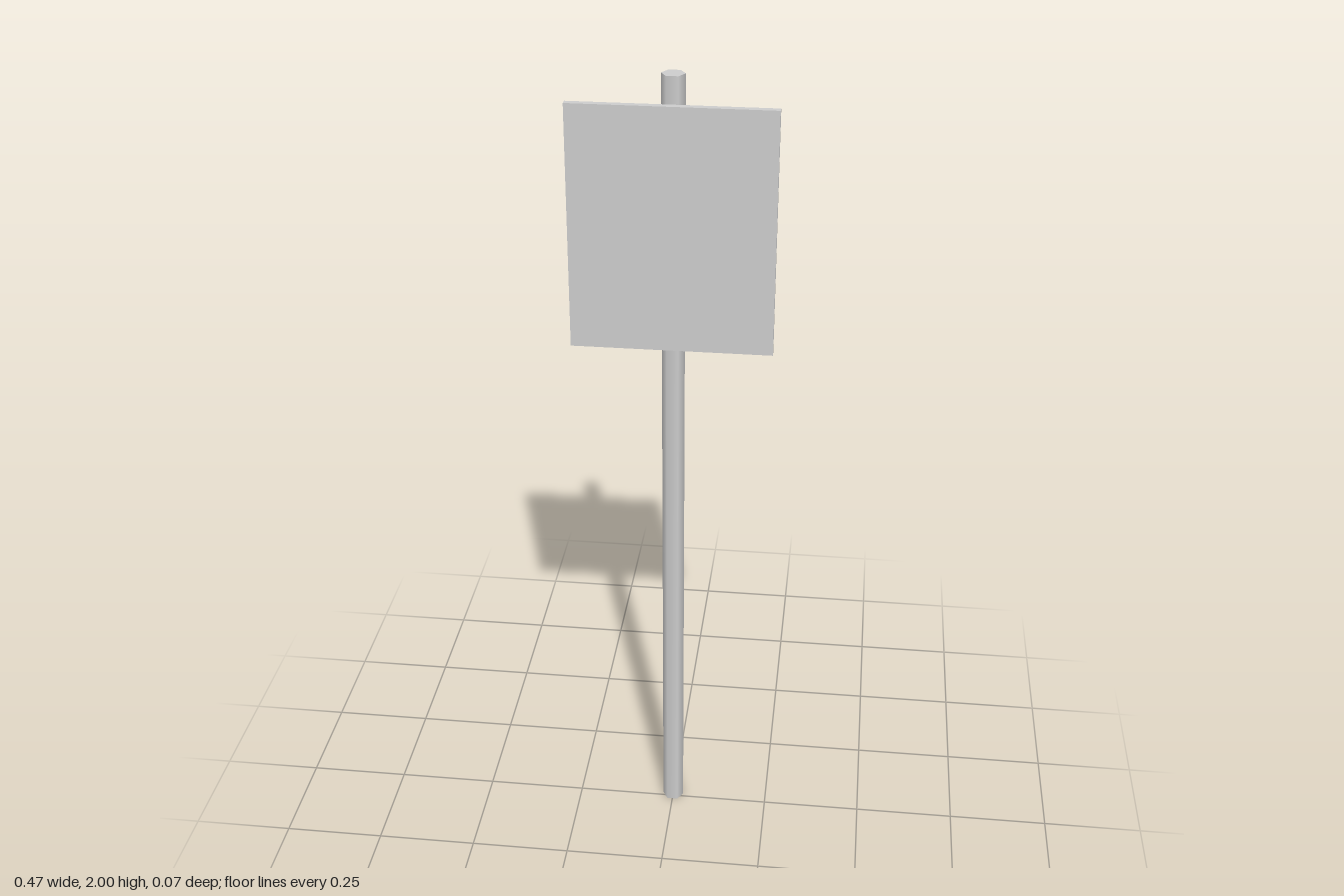
import * as THREE from 'three';

export function createModel() {
  const group = new THREE.Group();
  group.name = 'signpost';
  const metal = new THREE.MeshStandardMaterial({ color: 0xcccccc });
  metal.name = 'grey metal';

  const add = (name, geometry, x, y, z) => {
    const mesh = new THREE.Mesh(geometry, metal);
    mesh.name = name;
    mesh.position.set(x, y, z);
    group.add(mesh);
  };

  // Six-sided pole with corners on the left and right, smooth shaded
  add('pole', new THREE.CylinderGeometry(0.027, 0.027, 2, 6, 1, false, Math.PI / 6), 0, 1, -0.0105);

  // Bracket joining the pole to the panel
  add('bracket', new THREE.BoxGeometry(0.045, 0.315, 0.021), 0, 1.65, 0.0065);

  // Flat sign panel
  add('signPanel', new THREE.BoxGeometry(0.47, 0.578, 0.016), 0, 1.65, 0.025);

  return group;
}
